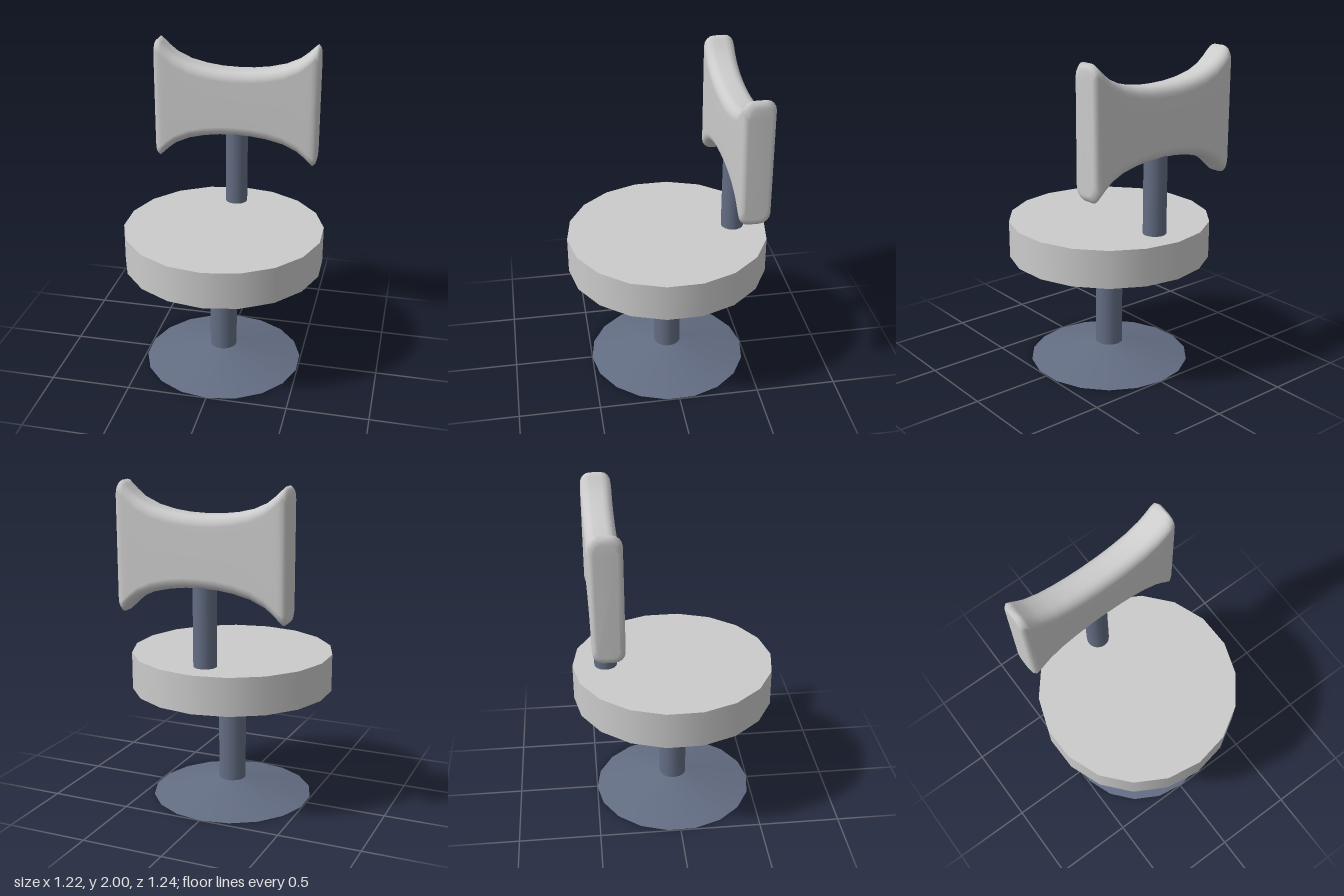
import * as THREE from 'three';

const grey = new THREE.MeshStandardMaterial({ color: 0xcccccc });
const slate = new THREE.MeshStandardMaterial({ color: 0x636d83 });
const SIDES = 18;

// Upright cylinder or cone frustum between two heights
function column(name, rTop, rBottom, y0, y1, z, material) {
  const mesh = new THREE.Mesh(new THREE.CylinderGeometry(rTop, rBottom, y1 - y0, SIDES), material);
  mesh.position.set(0, (y0 + y1) / 2, z);
  mesh.name = name;
  return mesh;
}

// Waisted cushion: rounded-rectangle sections lofted along x
function cushionGeometry() {
  // [x, half height, half thickness] from the middle to the rounded end
  const half = [
    [0, 0.21, 0.095], [0.1, 0.213, 0.095], [0.2, 0.226, 0.095], [0.3, 0.25, 0.095],
    [0.39, 0.291, 0.095], [0.44, 0.331, 0.095], [0.47, 0.36, 0.095],
    [0.495, 0.383, 0.093], [0.513, 0.367, 0.082], [0.519, 0.34, 0.064],
  ];
  const mirrored = half.slice(1).reverse().map(([x, h, t]) => [-x, h, t]);
  const sections = [...mirrored, ...half];
  const steps = 4;
  const ring = 4 * (steps + 1);
  const pos = [];
  const index = [];

  for (const [x, h, t] of sections) {
    const ry = 0.065, rz = Math.min(0.06, t * 0.65);
    for (let q = 0; q < 4; q++) {
      const sy = q < 2 ? 1 : -1;
      const sz = q === 0 || q === 3 ? 1 : -1;
      for (let i = 0; i <= steps; i++) {
        const a = (q + i / steps) * Math.PI / 2;
        pos.push(x, sy * (h - ry) + ry * Math.sin(a), sz * (t - rz) + rz * Math.cos(a));
      }
    }
  }
  for (let s = 0; s < sections.length - 1; s++) {
    for (let i = 0; i < ring; i++) {
      const a = s * ring + i, b = s * ring + (i + 1) % ring;
      index.push(a, a + ring, b, b, a + ring, b + ring);
    }
  }
  // End caps
  const last = (sections.length - 1) * ring;
  for (let i = 1; i < ring - 1; i++) {
    index.push(0, i, i + 1);
    index.push(last, last + i + 1, last + i);
  }
  const geo = new THREE.BufferGeometry();
  geo.setAttribute('position', new THREE.Float32BufferAttribute(pos, 3));
  geo.setIndex(index);
  geo.computeVertexNormals();
  return geo;
}

export function createModel() {
  const model = new THREE.Group();
  model.name = 'stool';

  // Pedestal
  model.add(column('base', 0.08, 0.5, 0, 0.1, 0, slate));
  model.add(column('pedestalPost', 0.085, 0.085, 0.08, 0.72, 0, slate));

  // Round seat
  model.add(column('seat', 0.62, 0.62, 0.71, 0.94, 0, grey));

  // Backrest on its post
  model.add(column('backPost', 0.07, 0.07, 0.93, 1.5, -0.415, slate));
  const backrest = new THREE.Mesh(cushionGeometry(), grey);
  backrest.position.set(0, 1.6175, -0.415);
  backrest.name = 'backrest';
  model.add(backrest);

  // The whole stool is swivelled very slightly
  model.rotation.y = 0.015;
  return model;
}
